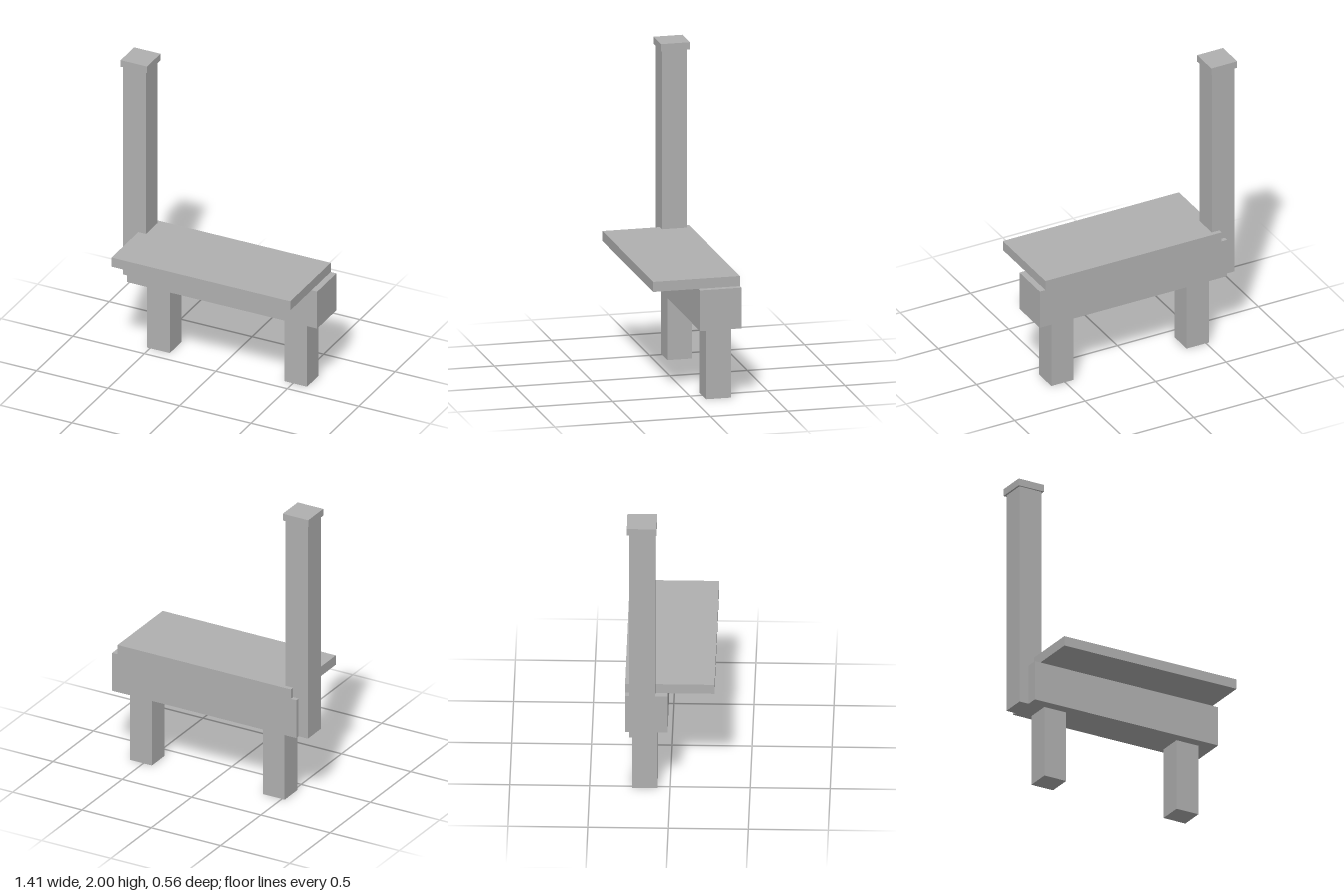
import * as THREE from 'three';

export function createModel() {
  const model = new THREE.Group();
  const grey = new THREE.MeshStandardMaterial({ color: 0xb0b0b0 });
  grey.name = 'plain grey';

  // Box given by its extents along each axis
  function block(name, [x0, x1], [y0, y1], [z0, z1]) {
    const mesh = new THREE.Mesh(new THREE.BoxGeometry(x1 - x0, y1 - y0, z1 - z0), grey);
    mesh.position.set((x0 + x1) / 2, (y0 + y1) / 2, (z0 + z1) / 2);
    mesh.name = name;
    model.add(mesh);
  }

  // Overhanging top board on a heavy beam
  block('topBoard', [-0.588, 0.662], [0.735, 0.8], [-0.279, 0.279]);
  block('beam', [-0.628, 0.702], [0.472, 0.735], [-0.279, -0.013]);

  // Two square legs below the beam
  block('rightLeg', [-0.52, -0.362], [0, 0.472], [-0.238, -0.079]);
  block('leftLeg', [0.439, 0.598], [0, 0.472], [-0.238, -0.079]);

  // Tall post at one end, with a flat cap
  block('post', [-0.694, -0.534], [0.472, 1.953], [-0.25, -0.09]);
  block('postCap', [-0.706, -0.522], [1.953, 2], [-0.266, -0.08]);

  return model;
}
